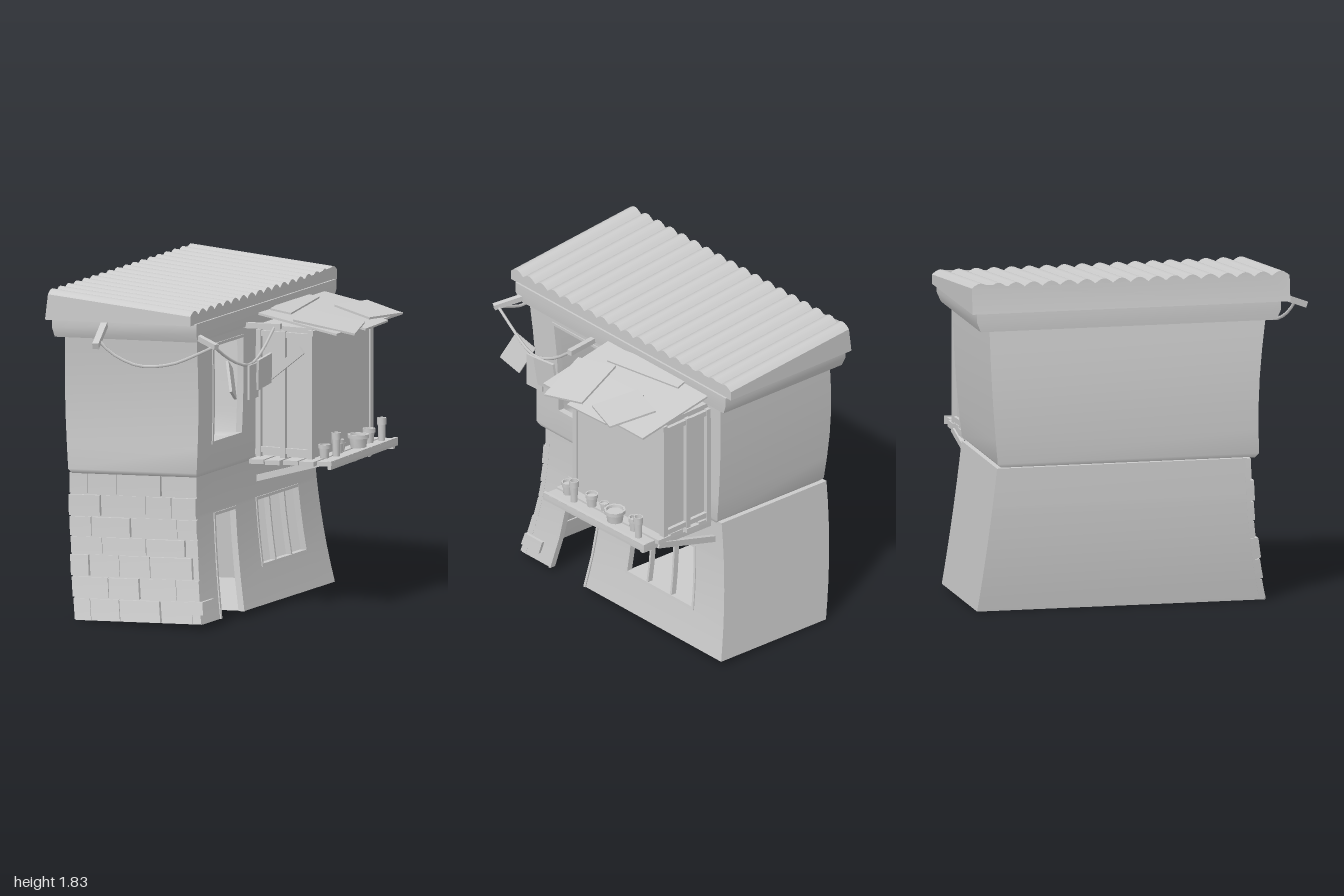
import * as THREE from 'three';
import { toCreasedNormals } from 'three/addons/utils/BufferGeometryUtils.js';

const mat = new THREE.MeshStandardMaterial({ color: 0xcccccc, side: THREE.DoubleSide });
const V = (p) => new THREE.Vector3(...p);

// Lean and flare of the two storeys, from straight coordinates
const tilt = (x) => 0.03 * (x + 0.6) / 0.78;
function lowerWarp(x, y, z) {
  const v = y / 0.8, c = 1 - (1 - v) ** 2;
  const back = -0.93 + 0.09 * v, front = 0.69 - 0.105 * c;
  return [x - 0.085 * c, y + tilt(x), back + (z + 0.93) / 1.62 * (front - back)];
}
function upperWarp(x, y, z) {
  const v = (y - 0.8) / 0.8, s = Math.sin(Math.PI * v);
  const k = y < 0.81 ? 0.97 : 1;
  const l = -0.67 - 0.022 * s, r = 0.11 + 0.02 * v;
  const back = -0.83 - 0.012 * s - 0.05 * v, front = 0.64 - 0.025 * s + 0.04 * v;
  const px = l + (x + 0.67) / 0.78 * (r - l), pz = back + (z + 0.83) / 1.47 * (front - back);
  return [(px + 0.28) * k - 0.28, y + tilt(x), (pz + 0.1) * k - 0.1];
}

function warp(geo, fn) {
  const p = geo.attributes.position;
  for (let i = 0; i < p.count; i++) p.setXYZ(i, ...fn(p.getX(i), p.getY(i), p.getZ(i)));
  geo.computeVertexNormals();
  return geo;
}
function add(group, name, geo) {
  const m = new THREE.Mesh(geo, mat);
  m.name = name;
  group.add(m);
  return m;
}
// Box given by its min and max corners, bent by a warp
function warpedBox(group, name, a, b, fn) {
  const g = new THREE.BoxGeometry(b[0] - a[0], b[1] - a[1], b[2] - a[2], 1, 3, 1);
  g.translate((a[0] + b[0]) / 2, (a[1] + b[1]) / 2, (a[2] + b[2]) / 2);
  return add(group, name, warp(g, fn));
}
// Sheet over a grid of lines, leaving out the cells of openings
function sheet(group, name, us, vs, point, skip = () => false) {
  const pos = [], idx = [], n = us.length;
  for (const v of vs) for (const u of us) pos.push(...point(u, v));
  for (let j = 0; j < vs.length - 1; j++) for (let i = 0; i < n - 1; i++) {
    if (skip((us[i] + us[i + 1]) / 2, (vs[j] + vs[j + 1]) / 2)) continue;
    const a = j * n + i;
    idx.push(a, a + 1, a + n + 1, a, a + n + 1, a + n);
  }
  const g = new THREE.BufferGeometry();
  g.setAttribute('position', new THREE.Float32BufferAttribute(pos, 3));
  g.setIndex(idx);
  g.computeVertexNormals();
  return add(group, name, g);
}
function plate(group, name, size, pos, rot = [0, 0, 0]) {
  const m = add(group, name, new THREE.BoxGeometry(...size));
  m.position.set(...pos);
  m.rotation.set(...rot, 'ZYX');
  return m;
}
function beam(group, name, a, b, w, h = w) {
  const A = V(a), B = V(b);
  const m = add(group, name, new THREE.BoxGeometry(w, h, A.distanceTo(B)));
  m.position.copy(A).lerp(B, 0.5);
  m.lookAt(B);
  return m;
}
// Four walls of a storey; openings [z0, z1, y0, y1] are cut in the right-hand one
function storey(group, name, [x0, x1], [z0, z1], ys, openings, fn) {
  const cols = [...new Set([z0, z1, ...openings.flatMap((o) => [o[0], o[1]])])].sort((a, b) => b - a);
  const inside = (z, y) => openings.some((o) => z > o[0] && z < o[1] && y > o[2] && y < o[3]);
  sheet(group, name + 'SideWall', cols, ys, (z, y) => fn(x1, y, z), inside);
  sheet(group, name + 'PlainWall', [z0, z1], ys, (z, y) => fn(x0, y, z));
  sheet(group, name + 'FrontWall', [x0, x1], ys, (x, y) => fn(x, y, z1));
  sheet(group, name + 'BackWall', [x1, x0], ys, (x, y) => fn(x, y, z0));
  sheet(group, name + 'Ceiling', [x0, x1], [z1, z0], (x, z) => fn(x, ys[ys.length - 1], z));
}
// Bars lining an opening in the side wall
function frame(group, name, [z0, z1, y0, y1], x, fn, sill = true) {
  const t = 0.016, a = x - 0.03, b = x + 0.006;
  warpedBox(group, name + 'Jamb', [a, y0, z0], [b, y1, z0 + t], fn);
  warpedBox(group, name + 'Jamb', [a, y0, z1 - t], [b, y1, z1], fn);
  warpedBox(group, name + 'Head', [a, y1 - t, z0], [b, y1, z1], fn);
  if (sill) warpedBox(group, name + 'Sill', [a, y0, z0], [b, y0 + t, z1], fn);
}

function lowerFloor(root) {
  const g = new THREE.Group();
  g.name = 'lowerFloor';
  const door = [0.17, 0.47, 0, 0.57], win = [-0.68, -0.1, 0.2, 0.58];
  storey(g, 'lower', [-0.6, 0.17], [-0.93, 0.69], [0, 0.1, 0.2, 0.3, 0.4, 0.5, 0.57, 0.58, 0.69, 0.8], [door, win], lowerWarp);
  frame(g, 'door', door, 0.17, lowerWarp, false);
  frame(g, 'window', win, 0.17, lowerWarp);
  for (const z of [-0.49, -0.29])
    warpedBox(g, 'windowMullion', [0.14, 0.2, z], [0.172, 0.58, z + 0.014], lowerWarp);
  sheet(g, 'floor', [-0.6, 0.17], [-0.93, 0.17], (x, z) => lowerWarp(x, 0, z));
  // Stone blocks: joints along each course of the front
  const joints = [[-0.5, -0.32, -0.07, 0.12], [-0.38, -0.19, 0.03], [-0.49, -0.31, -0.12, 0.14], [-0.41, -0.14, 0.1],
    [-0.47, -0.23, 0.05], [-0.41, -0.14, 0.02], [-0.49, -0.31, -0.04]];
  const levels = [0, 0.12, 0.235, 0.355, 0.45, 0.56, 0.68, 0.8];
  joints.forEach((row, j) => {
    const xs = [-0.607, ...row, 0.175];
    for (let i = 0; i < xs.length - 1; i++)
      warpedBox(g, 'stoneBlock', [xs[i] + 0.004, levels[j] + 0.004, 0.66],
        [xs[i + 1] - 0.004, levels[j + 1] - 0.004, 0.704 + 0.008 * ((i + j) % 3 - 1)], lowerWarp);
  });
  warpedBox(g, 'cornerStone', [0.1, 0.05, 0.56], [0.187, 0.12, 0.705], lowerWarp);
  root.add(g);
}

function upperFloor(root) {
  const g = new THREE.Group();
  g.name = 'upperFloor';
  const win = [0.1, 0.47, 0.96, 1.52];
  storey(g, 'upper', [-0.67, 0.11], [-0.83, 0.64], [0.8, 0.825, 0.96, 1.1, 1.25, 1.4, 1.52, 1.62], [win], upperWarp);
  sheet(g, 'underside', [-0.67, 0.11], [-0.83, 0.64], (x, z) => upperWarp(x, 0.8, z));
  frame(g, 'upperWindow', win, 0.11, upperWarp);
  root.add(g);
}

function roof(root) {
  const g = new THREE.Group();
  g.name = 'roof';
  // Flared cornice under the eaves
  const cornice = new THREE.BoxGeometry(1, 1, 1, 1, 2, 1);
  add(g, 'cornice', warp(cornice, (x, y, z) => {
    const f = Math.min(1, y + 1) ** 0.5;
    return [-0.275 + x * (0.84 + 0.04 * f), 1.63 + y * 0.105 + 0.03 * x, -0.105 + z * (1.56 + 0.15 * f)];
  }));
  // Wedge with rolled tile rows running across
  const n = 18, a0 = -0.8, len = 1.79, seg = 6, s = new THREE.Shape();
  s.moveTo(a0, 0);
  s.lineTo(a0 + len, 0);
  for (let i = n * seg; i >= 0; i--)
    s.lineTo(a0 + len * i / (n * seg), 1 + 0.026 * Math.abs(Math.sin(Math.PI * i / seg)));
  const geo = new THREE.ExtrudeGeometry(s, { depth: 1, bevelEnabled: false });
  warp(geo, (a, b, t) => {
    const low = 1.665 + 0.028 * t, high = 1.807 - 0.062 * t;
    return [-0.715 + 0.868 * t - 0.018 * (1 - t) * (1 - Math.min(b, 1)),
      low + Math.min(b, 1) * (high - low) + Math.max(0, b - 1), -a];
  });
  add(g, 'tiledRoof', toCreasedNormals(geo, 0.6));
  root.add(g);
}

function bay(root) {
  const g = new THREE.Group();
  g.name = 'bay';
  plate(g, 'bayBox', [0.35, 0.72, 0.7], [0.285, 1.215, -0.425]);
  for (const z of [-0.07, -0.78]) {
    for (const x of [0.14, 0.29, 0.455]) plate(g, 'bayPost', [0.03, 0.7, 0.035], [x, 1.2, z]);
    plate(g, 'bayRail', [0.34, 0.03, 0.03], [0.3, 0.89, z]);
    plate(g, 'bayRail', [0.34, 0.03, 0.03], [0.3, 1.53, z]);
  }
  plate(g, 'bayTopRail', [0.03, 0.03, 0.75], [0.46, 1.55, -0.425]);
  beam(g, 'bayBrace', [0.12, 1.22, -0.03], [0.42, 1.46, -0.03], 0.02, 0.045);
  // Overlapping awning boards
  plate(g, 'awningBoard', [0.49, 0.012, 0.81], [0.4, 1.605, -0.41], [0, 0, -0.17]);
  plate(g, 'awningBoard', [0.3, 0.012, 0.3], [0.54, 1.592, -0.4], [0, 0.04, -0.21]);
  plate(g, 'awningBoard', [0.275, 0.012, 0.25], [0.555, 1.615, -0.565], [0.04, -0.33, -0.15]);
  plate(g, 'awningBoard', [0.35, 0.012, 0.25], [0.515, 1.605, -0.165], [0.06, 0.26, -0.2]);
  plate(g, 'awningBoard', [0.12, 0.012, 0.5], [0.2, 1.65, -0.38], [0, 0.15, -0.17]);
  // Slatted platform on joists and struts
  for (let i = 0; i < 5; i++)
    plate(g, 'platformSlat', [0.09, 0.025, 0.8 + 0.03 * (i % 2)], [0.16 + i * 0.104, 0.838 + i * 0.004, -0.39], [0.02, 0, 0.04]);
  plate(g, 'platformEdge', [0.02, 0.045, 0.82], [0.61, 0.85, -0.39], [0.02, 0, 0]);
  for (const z of [-0.12, -0.3, -0.48, -0.77]) plate(g, 'joist', [0.5, 0.03, 0.025], [0.36, 0.825, z], [0, 0, 0.04]);
  for (const z of [-0.15, -0.78]) beam(g, 'strut', [0.08, 0.71, z], [0.5, 0.83, z], 0.025, 0.035);
  // Pots: [x, z, radius, height]
  const pots = [[0.53, -0.08, 0.034, 0.075], [0.56, -0.165, 0.027, 0.13], [0.52, -0.265, 0.036, 0.075], [0.5, -0.345, 0.026, 0.045],
    [0.54, -0.475, 0.06, 0.075], [0.53, -0.625, 0.035, 0.085], [0.57, -0.7, 0.026, 0.135]];
  for (const [x, z, r, h] of pots) {
    const prof = [[0, 0], [r * 0.72, 0], [r * 0.85, h * 0.72], [r, h * 0.72], [r, h], [r * 0.8, h], [r * 0.75, h * 0.8], [0, h * 0.8]];
    const geo = new THREE.LatheGeometry(prof.map((p) => new THREE.Vector2(...p)), 10);
    add(g, 'pot', toCreasedNormals(geo, 0.7)).position.set(x, 0.865, z);
  }
  root.add(g);
}

function washingLine(root) {
  const g = new THREE.Group();
  g.name = 'washingLine';
  beam(g, 'pole', [-0.385, 1.66, 0.77], [-0.33, 1.575, 0.99], 0.035);
  beam(g, 'pole', [0.1, 1.63, 0.68], [0.3, 1.585, 0.775], 0.03);
  beam(g, 'pole', [0.1, 1.6, 0.13], [0.355, 1.605, 0.1], 0.03);
  const ropes = [[[-0.34, 1.6, 0.93], [-0.27, 1.53, 0.91], [-0.12, 1.465, 0.87], [0.05, 1.48, 0.82], [0.17, 1.53, 0.79], [0.28, 1.585, 0.765]],
    [[0.28, 1.585, 0.765], [0.295, 1.5, 0.62], [0.315, 1.45, 0.5], [0.325, 1.44, 0.4], [0.32, 1.49, 0.26], [0.32, 1.6, 0.11]]];
  for (const pts of ropes)
    add(g, 'rope', new THREE.TubeGeometry(new THREE.CatmullRomCurve3(pts.map(V)), 12, 0.009, 5));
  // Hanging cloths
  plate(g, 'cloth', [0.015, 0.17, 0.16], [0.35, 1.385, 0.295], [0.12, 0, -0.08]);
  plate(g, 'cloth', [0.012, 0.19, 0.12], [0.335, 1.345, 0.4], [0, 0.05, 0]);
  plate(g, 'cloth', [0.015, 0.18, 0.14], [0.295, 1.375, 0.585], [-0.4, 0.35, 0.2]);
  root.add(g);
}

export function createModel() {
  const root = new THREE.Group();
  root.name = 'house';
  for (const part of [lowerFloor, upperFloor, roof, bay, washingLine]) part(root);
  return root;
}
